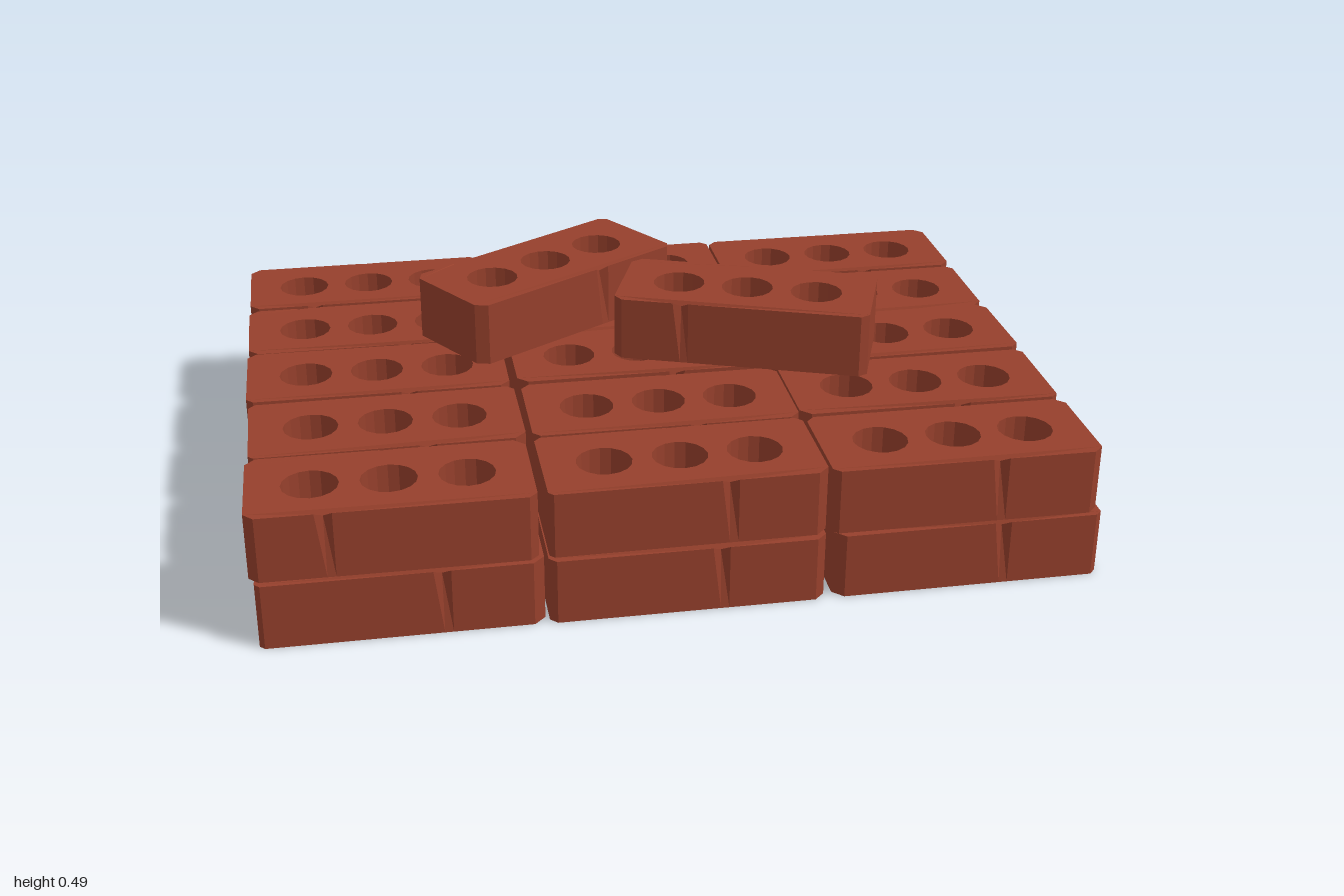
import * as THREE from 'three';

const L = 0.65, D = 0.283, H = 0.162;

// small seeded generator for wear and placement variation
let seed = 7;
const rnd = () => (seed = (seed * 16807) % 2147483647) / 2147483647;
const jitter = (a) => (rnd() * 2 - 1) * a;

// Cored brick: clipped corners, three round holes, a small chip on each long top edge
function brickGeometry() {
  const c = [0, 1, 2, 3].map(() => 0.012 + rnd() * 0.016);
  const x = L / 2, z = D / 2;
  const chips = [jitter(0.2), jitter(0.2)];
  const shape = new THREE.Shape([
    [-x + c[0], -z], [chips[0] - 0.02, -z], [chips[0], -z], [chips[0] + 0.02, -z],
    [x - c[1], -z], [x, -z + c[1]], [x, z - c[2]], [x - c[2], z],
    [chips[1] + 0.02, z], [chips[1], z], [chips[1] - 0.02, z],
    [-x + c[3], z], [-x, z - c[3]], [-x, -z + c[0]],
  ].map(([px, py]) => new THREE.Vector2(px, py)));
  for (const hx of [-0.178, 0, 0.178]) {
    const hole = new THREE.Path();
    hole.absarc(hx, 0, 0.066, 0, Math.PI * 2, true);
    shape.holes.push(hole);
  }
  const geo = new THREE.ExtrudeGeometry(shape, { depth: H, bevelEnabled: false, curveSegments: 8 });
  // press the chip vertices in and down on the upper face
  const p = geo.attributes.position;
  for (let i = 0; i < p.count; i++) {
    if (p.getZ(i) < H / 2) continue;
    chips.forEach((cx, k) => {
      const edge = k ? z : -z;
      if (Math.abs(p.getX(i) - cx) < 1e-4 && Math.abs(p.getY(i) - edge) < 1e-4) {
        p.setY(i, edge * 0.9);
        p.setZ(i, H - 0.012);
      }
    });
  }
  geo.rotateX(-Math.PI / 2);
  geo.computeVertexNormals();
  return geo;
}

export function createModel() {
  seed = 7;
  const group = new THREE.Group();
  group.name = 'brickStack';
  const clay = new THREE.MeshStandardMaterial({ color: 0x96402c });
  clay.name = 'redClay';
  const variants = [0, 1, 2, 3].map(brickGeometry);

  let count = 0;
  function addBrick(name, x, y, z, turn) {
    const mesh = new THREE.Mesh(variants[count++ % variants.length], clay);
    mesh.name = name;
    mesh.position.set(x, y, z);
    mesh.rotation.y = turn;
    group.add(mesh);
  }

  // two courses of three by five bricks
  const courses = [
    { name: 'lowerBrick', y: 0, xs: [-0.655, 0.005, 0.67], zs: [-0.577, -0.287, 0.01, 0.3, 0.587] },
    { name: 'upperBrick', y: 0.168, xs: [-0.663, 0.003, 0.665], zs: [-0.592, -0.293, -0.01, 0.287, 0.58] },
  ];
  for (const { name, y, xs, zs } of courses)
    for (const z of zs)
      for (const x of xs)
        addBrick(name, x + jitter(0.004), y, z + jitter(0.004), jitter(0.008));

  // two loose bricks lying on top
  addBrick('looseBrickBack', -0.2, 0.331, -0.27, 0.56);
  addBrick('looseBrickFront', 0.29, 0.331, 0, -0.355);

  return group;
}
